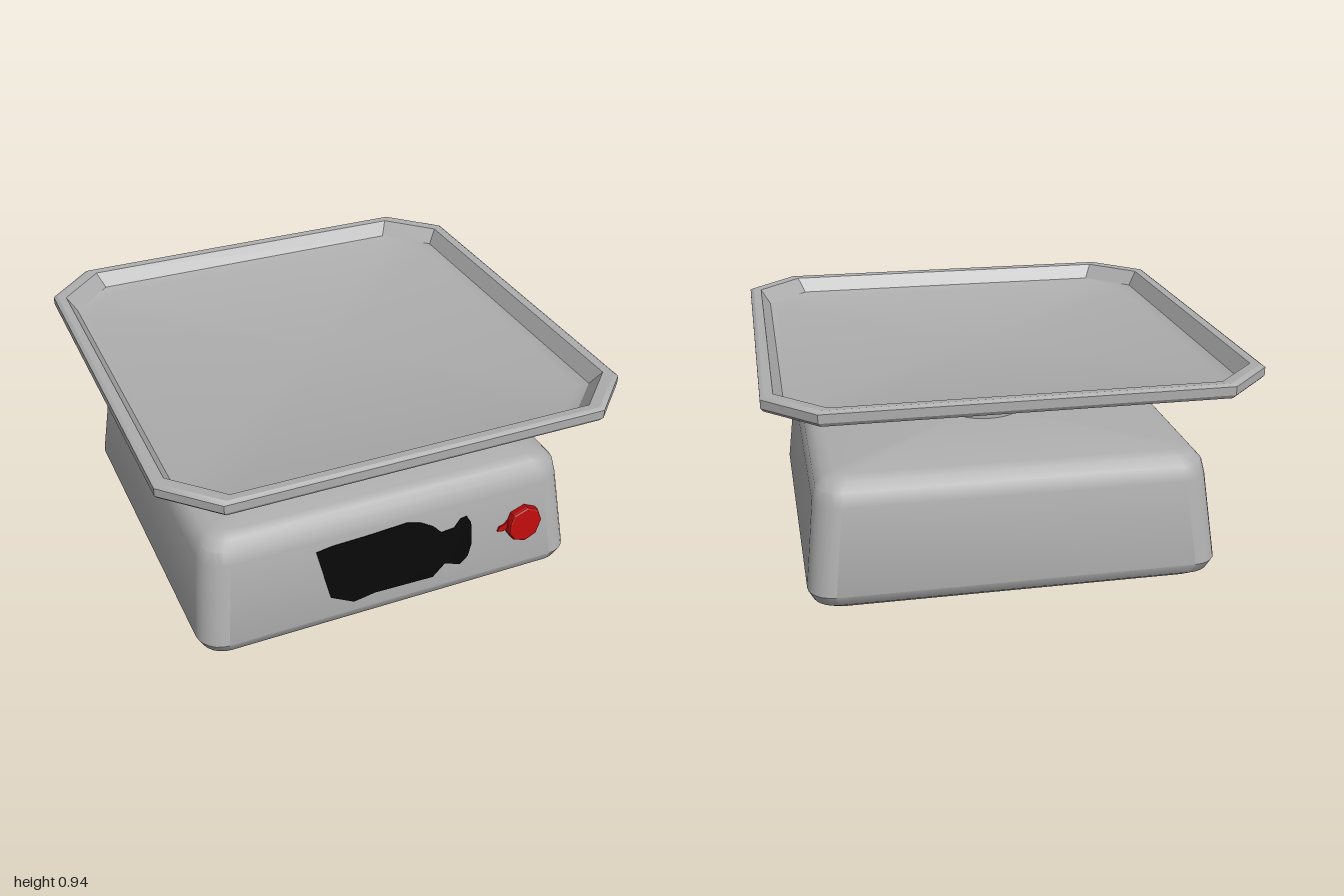
import * as THREE from 'three';
import { toCreasedNormals } from 'three/addons/utils/BufferGeometryUtils.js';

const grey = new THREE.MeshStandardMaterial({ color: 0xadadad });
grey.name = 'grey plastic';
const black = new THREE.MeshStandardMaterial({ color: 0x050505 });
black.name = 'black display';
const red = new THREE.MeshStandardMaterial({ color: 0xb80a0a });
red.name = 'red button';

// Outline of a rectangle with rounded (or chamfered, when steps = 1) corners
function outline(hx, hz, r, steps) {
  const points = [];
  for (let c = 0; c < 4; c++) {
    const sx = c === 0 || c === 3 ? 1 : -1;
    const sz = c < 2 ? 1 : -1;
    for (let s = 0; s <= steps; s++) {
      const a = (c + s / steps) * Math.PI / 2;
      points.push([sx * (hx - r) + r * Math.cos(a), sz * (hz - r) + r * Math.sin(a)]);
    }
  }
  return points;
}

// Closed solid through levels [y, halfWidth, halfDepth, cornerRadius], bottom to top
function loft(levels, steps, crease) {
  const rings = levels.map(([y, hx, hz, r]) =>
    outline(hx, hz, r, steps).map(([x, z]) => [x, y, z]));
  const n = rings[0].length;
  const pos = [];
  const tri = (...corners) => corners.forEach((p) => pos.push(...p));
  const last = rings.length - 1;
  const bottom = [0, levels[0][0], 0];
  const top = [0, levels[last][0], 0];
  for (let i = 0; i < n; i++) {
    const j = (i + 1) % n;
    for (let k = 0; k < last; k++) {
      const a = rings[k], b = rings[k + 1];
      tri(a[i], b[i], b[j]);
      tri(a[i], b[j], a[j]);
    }
    tri(bottom, rings[0][i], rings[0][j]);
    tri(top, rings[last][j], rings[last][i]);
  }
  const geometry = new THREE.BufferGeometry();
  geometry.setAttribute('position', new THREE.Float32BufferAttribute(pos, 3));
  return toCreasedNormals(geometry, crease);
}

function extrude(points, depth, bevel) {
  const shape = new THREE.Shape(points.map(([x, y]) => new THREE.Vector2(x, y)));
  return new THREE.ExtrudeGeometry(shape, {
    depth, bevelEnabled: bevel > 0, bevelSize: bevel, bevelThickness: bevel, bevelSegments: 2,
  });
}

export function createModel() {
  const group = new THREE.Group();
  const add = (name, geometry, material, parent = group) => {
    const mesh = new THREE.Mesh(geometry, material);
    mesh.name = name;
    parent.add(mesh);
    return mesh;
  };

  // Tapered housing with soft edges
  add('base', loft([
    [0.005, 0.74, 0.71, 0.06],
    [0.015, 0.79, 0.76, 0.08],
    [0.045, 0.84, 0.805, 0.1],
    [0.09, 0.862, 0.825, 0.11],
    [0.45, 0.822, 0.765, 0.11],
    [0.51, 0.807, 0.75, 0.1],
    [0.545, 0.775, 0.72, 0.09],
    [0.56, 0.73, 0.675, 0.06],
  ], 6, 0.6), grey);

  // Column carrying the tray
  const column = add('column', new THREE.CylinderGeometry(0.175, 0.18, 0.3, 32), grey);
  column.position.y = 0.69;

  // Square tray with cut corners, a raised rim and a sunken floor
  add('tray', loft([
    [0.848, 0.76, 0.76, 0.18],
    [0.86, 0.9, 0.9, 0.2],
    [0.89, 0.99, 0.99, 0.2],
    [0.905, 1, 1, 0.2],
    [0.94, 1, 1, 0.2],
    [0.95, 0.985, 0.985, 0.2],
    [0.947, 0.95, 0.95, 0.19],
    [0.885, 0.91, 0.91, 0.18],
    [0.868, 0.87, 0.87, 0.17],
  ], 1, 0.45), grey);

  // Rounded square support under the tray, slightly recessed inside its lip
  add('traySupport', loft([
    [0.82, 0.6, 0.6, 0.4],
    [0.803, 0.63, 0.63, 0.43],
    [0.8, 0.74, 0.74, 0.52],
    [0.825, 0.755, 0.755, 0.53],
    [0.852, 0.775, 0.775, 0.54],
  ], 8, 0.5), grey);

  // Sloping front panel: local y runs up the slope, local z points outwards
  const panel = new THREE.Group();
  panel.name = 'frontPanel';
  panel.position.set(0, 0.28, 0.794);
  panel.rotation.x = -Math.atan(0.06 / 0.36);
  group.add(panel);

  // Dark readout
  const readout = [
    [-0.35, 0.41], [-0.28, 0.42], [-0.12, 0.425], [0.06, 0.435], [0.12, 0.42], [0.18, 0.385],
    [0.22, 0.345], [0.28, 0.35], [0.31, 0.385], [0.34, 0.39], [0.36, 0.355], [0.36, 0.25],
    [0.34, 0.195], [0.3, 0.165], [0.23, 0.19], [0.17, 0.14], [-0.1, 0.145], [-0.2, 0.13], [-0.3, 0.18],
  ].map(([x, y]) => [x, y - 0.28]);
  add('display', extrude(readout, 0.004, 0), black, panel);

  // Button with a small pointer on its left
  const button = [
    [-0.065, -0.03], [-0.045, -0.06], [0, -0.075], [0.05, -0.055], [0.075, 0],
    [0.06, 0.045], [0.015, 0.065], [-0.045, 0.045], [-0.06, 0.01],
  ];
  add('button', extrude(button, 0.025, 0.01), red, panel).position.set(0.605, 0.015, 0);
  const pointer = [[-0.12, -0.02], [-0.09, -0.025], [-0.05, 0], [-0.05, 0.04], [-0.085, 0.005], [-0.11, 0]];
  add('buttonPointer', extrude(pointer, 0.008, 0), red, panel).position.set(0.605, 0.015, 0);

  return group;
}
